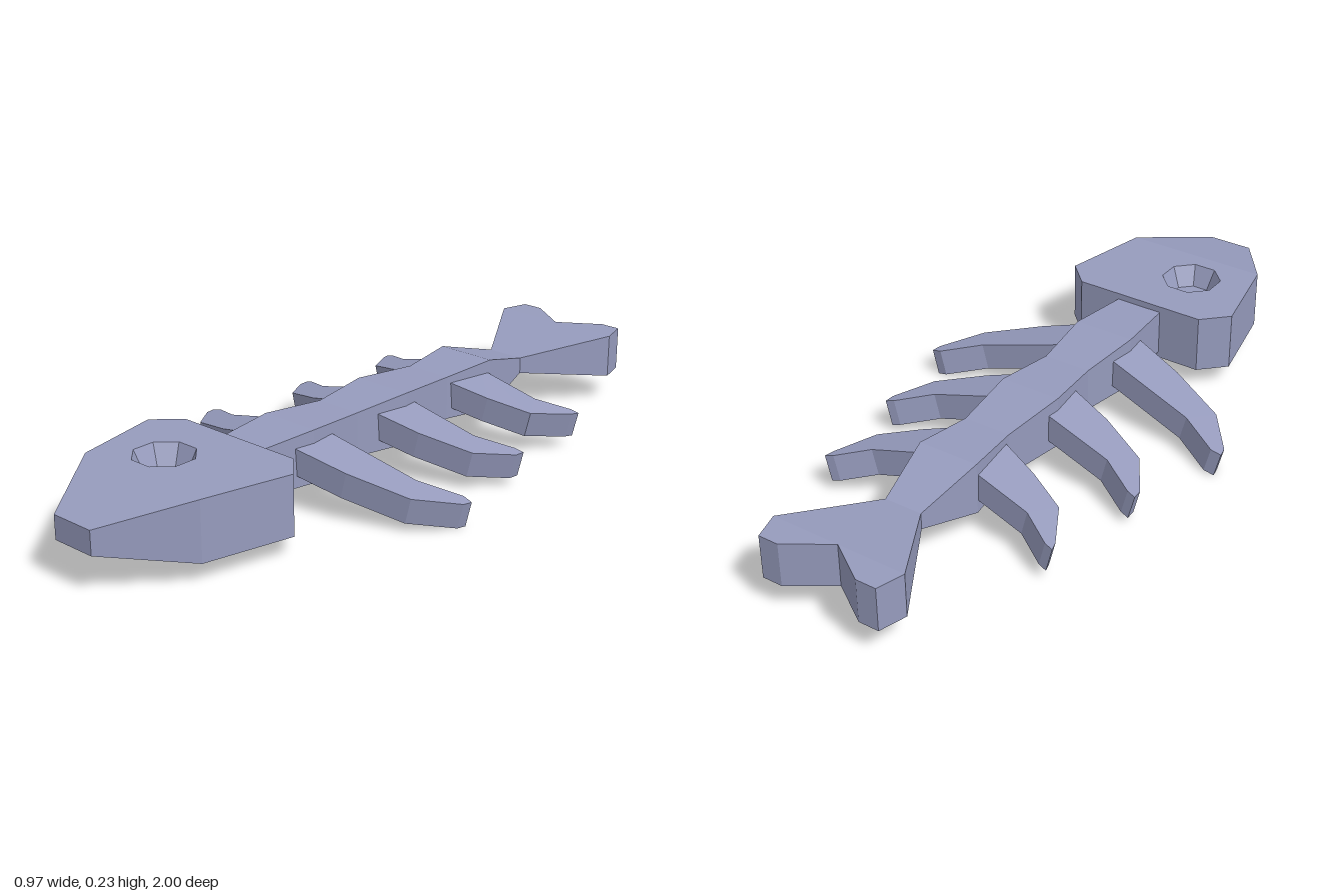
import * as THREE from 'three';

const bone = new THREE.MeshStandardMaterial({ color: 0x969bbd });
bone.name = 'bone';

// Solid from an (x, z) plan outline; place(x, z, top) gives each upper or lower corner.
function prism(name, outline, place, hole = []) {
  const flat = outline.map(([x, z]) => new THREE.Vector2(x, z));
  if (THREE.ShapeUtils.isClockWise(flat)) flat.reverse();
  const holePts = hole.map(([x, z]) => new THREE.Vector2(x, z));
  const all = [...flat, ...holePts];
  const upper = all.map(p => place(p.x, p.y, true));
  const lower = all.map(p => place(p.x, p.y, false));
  const pos = [];
  const add = (...pts) => pts.forEach(p => pos.push(p.x, p.y, p.z));
  const faces = THREE.ShapeUtils.triangulateShape(flat, holePts.length ? [holePts] : []);
  for (const [a, b, c] of faces) {
    const ab = all[b].clone().sub(all[a]), ac = all[c].clone().sub(all[a]);
    const [p, q] = ab.cross(ac) > 0 ? [b, c] : [c, b];
    add(upper[a], upper[q], upper[p]);
    add(lower[a], lower[p], lower[q]);
  }
  flat.forEach((_, i) => {
    const j = (i + 1) % flat.length;
    add(upper[i], upper[j], lower[j], upper[i], lower[j], lower[i]);
  });
  const geo = new THREE.BufferGeometry();
  geo.setAttribute('position', new THREE.Float32BufferAttribute(pos, 3));
  geo.computeVertexNormals();
  const mesh = new THREE.Mesh(geo, bone);
  mesh.name = name;
  return mesh;
}

const MID = 0.145;
// Thickness that changes evenly from half height h0 at z0 to h1 at z1
const taper = (z0, h0, z1, h1) => (x, z, top) => {
  const h = THREE.MathUtils.mapLinear(z, z0, z1, h0, h1);
  return new THREE.Vector3(x, MID + (top ? h : -h), z);
};
const mirrored = half => [...half, ...half.map(([x, z]) => [-x, z]).reverse()];

function createHead() {
  const head = new THREE.Group();
  head.name = 'head';
  const eye = { x: -0.06, z: 0.65, outer: 0.087, inner: 0.06, depth: 0.06 };
  const rim = Array.from({ length: 8 }, (_, i) => {
    const a = (i + 0.5) * Math.PI / 4;
    return [eye.x + eye.outer * Math.sin(a), eye.z + eye.outer * Math.cos(a)];
  });
  head.add(prism('skull', mirrored([[0.2, 0.45], [0.27, 0.52], [0.213, 0.78]]),
    taper(0.45, 0.085, 0.78, 0.085), rim));
  head.add(prism('snout', mirrored([[0.213, 0.78], [0.067, 1]]), taper(0.78, 0.085, 1, 0.034)));

  // Eight-sided eye sockets on the upper and lower faces
  for (const turn of [0, Math.PI]) {
    const socket = new THREE.Group();
    socket.name = 'eyeSocket';
    const wall = new THREE.CylinderGeometry(eye.outer, eye.inner, eye.depth, 8, 1, true, Math.PI / 8);
    wall.scale(-1, 1, 1);
    const wallGeo = wall.toNonIndexed();
    // Reverse each triangle so the wall faces inward
    const p = wallGeo.attributes.position, v = new THREE.Vector3(), n = new THREE.Vector3();
    wallGeo.computeVertexNormals();
    v.fromBufferAttribute(p, 0);
    n.fromBufferAttribute(wallGeo.attributes.normal, 0);
    if (v.x * n.x + v.z * n.z > 0) wallGeo.scale(-1, 1, 1).computeVertexNormals();
    const wallMesh = new THREE.Mesh(wallGeo, bone);
    wallMesh.name = 'socketWall';
    wallMesh.position.y = 0.085 - eye.depth / 2;
    const floor = new THREE.Mesh(
      new THREE.CircleGeometry(eye.inner, 8, Math.PI / 8).rotateX(-Math.PI / 2), bone);
    floor.name = 'socketFloor';
    floor.position.y = 0.085 - eye.depth;
    socket.add(wallMesh, floor);
    socket.position.set(eye.x, MID, eye.z);
    socket.rotation.z = turn;
    head.add(socket);
  }
  return head;
}

function createSpine() {
  const spine = new THREE.Group();
  spine.name = 'spine';
  // z, half width, half height
  const rings = [[0.46, 0.07, 0.066], [0.26, 0.09, 0.076], [0.07, 0.07, 0.064], [-0.11, 0.09, 0.076],
    [-0.31, 0.07, 0.064], [-0.48, 0.09, 0.076], [-0.67, 0.056, 0.024]];
  for (let i = 0; i < rings.length - 1; i++) {
    const [z0, w0, h0] = rings[i], [z1, w1, h1] = rings[i + 1];
    spine.add(prism('vertebra', mirrored([[w0, z0], [w1, z1]]), taper(z0, h0, z1, h1)));
  }
  return spine;
}

function createTail() {
  const tail = new THREE.Group();
  tail.name = 'tail';
  tail.add(prism('tailFan', mirrored([[0.056, -0.67], [0.203, -0.92]]),
    taper(-0.67, 0.024, -0.92, 0.064)));
  for (const s of [1, -1]) {
    const lobe = [[0, -0.92], [0.203, -0.92], [0.18, -1], [0.12, -1]].map(([x, z]) => [s * x, z]);
    tail.add(prism('tailLobe', lobe, taper(-0.92, 0.064, -1, 0.064)));
  }
  return tail;
}

function createRibs() {
  const ribs = new THREE.Group();
  ribs.name = 'ribs';
  const outlines = [
    [[0.06, 0.185], [0.345, 0.143], [0.457, 0.085], [0.487, 0.088], [0.482, 0.115], [0.395, 0.222],
      [0.23, 0.288], [0.06, 0.33]],
    [[0.06, -0.145], [0.285, -0.168], [0.385, -0.225], [0.41, -0.23], [0.408, -0.2], [0.34, -0.095],
      [0.2, -0.035], [0.06, 0]],
    [[0.06, -0.47], [0.25, -0.487], [0.34, -0.54], [0.365, -0.545], [0.358, -0.52], [0.295, -0.41],
      [0.18, -0.358], [0.06, -0.32]],
  ];
  // Ribs droop fifteen degrees away from the spine
  const slope = Math.tan(Math.PI / 12);
  for (const outline of outlines) for (const s of [1, -1]) {
    ribs.add(prism(s > 0 ? 'leftRib' : 'rightRib', outline.map(([x, z]) => [s * x, z]), (x, z, top) => {
      const y = 0.207 - Math.abs(x) * slope;
      return top ? new THREE.Vector3(x, y, z) : new THREE.Vector3(x - s * 0.019, y - 0.074, z);
    }));
  }
  return ribs;
}

export function createModel() {
  const model = new THREE.Group();
  model.name = 'fishSkeleton';
  model.add(createHead(), createSpine(), createTail(), createRibs());
  return model;
}
